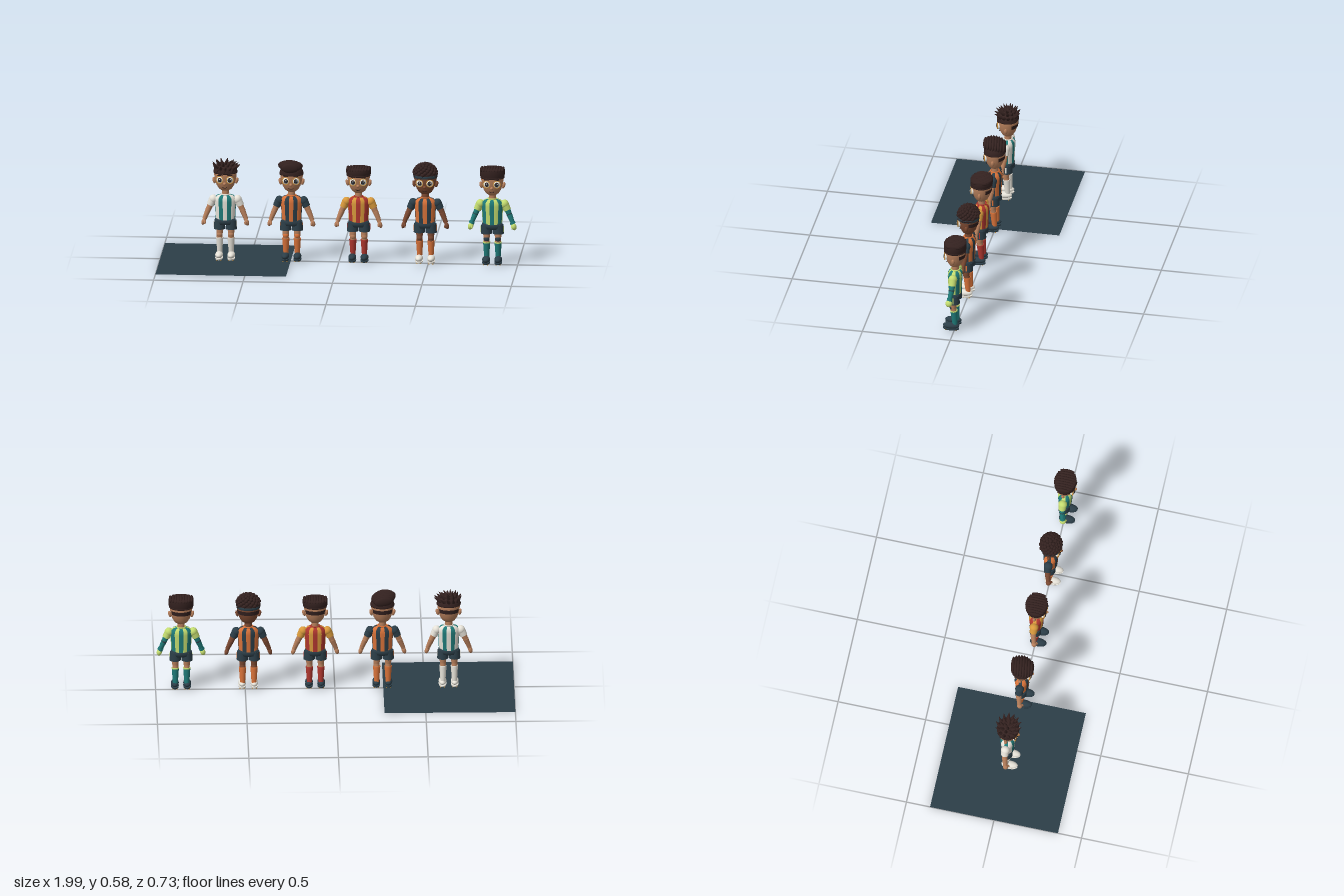
import * as THREE from 'three';

const mat = (name, color) => Object.assign(new THREE.MeshStandardMaterial({ color }), { name });
const M = {
  skin: mat('tan skin', 0xb8805c), brown: mat('brown skin', 0x7d4a32), hair: mat('dark hair', 0x33211f),
  white: mat('white', 0xe8e4da), teal: mat('teal', 0x1f7a78), orange: mat('orange', 0xd9733a),
  navy: mat('navy', 0x2c3e48), red: mat('red', 0xb0372f), amber: mat('amber', 0xd99a3c), lime: mat('lime', 0xc4dc70),
};
M.navy.side = M.hair.side = THREE.DoubleSide;

const V = (x, y, z) => new THREE.Vector3(x, y, z);
const ball = new THREE.SphereGeometry(1, 18, 12);
const dome = new THREE.SphereGeometry(1, 28, 10, 0, Math.PI * 2, 0, Math.PI / 2);

function add(parent, name, geo, material, x = 0, y = 0, z = 0) {
  const m = new THREE.Mesh(geo, material);
  m.name = name;
  m.position.set(x, y, z);
  parent.add(m);
  return m;
}
function blob(parent, name, material, x, y, z, rx, ry = rx, rz = rx) {
  const m = add(parent, name, ball, material, x, y, z);
  m.scale.set(rx, ry, rz);
  return m;
}
// Tapered round limb from a to b
function limb(parent, name, material, a, b, ra, rb, open = false) {
  const d = b.clone().sub(a);
  const m = add(parent, name, new THREE.CylinderGeometry(rb, ra, d.length(), 16, 1, open), material);
  m.position.copy(a).addScaledVector(d, 0.5);
  m.quaternion.setFromUnitVectors(V(0, 1, 0), d.normalize());
  return m;
}
// Turned shape with an oval plan
function lathe(parent, name, material, pts, depth, segs = 32) {
  const m = add(parent, name, new THREE.LatheGeometry(pts.map(p => new THREE.Vector2(...p)), segs), material);
  m.scale.z = depth;
  return m;
}

// Vertical stripes follow the columns of the turned shirt
function shirt(g, p) {
  const pts = [[0.054, 0.232], [0.056, 0.26], [0.058, 0.3], [0.062, 0.34], [0.06, 0.36], [0.045, 0.374], [0.022, 0.381]];
  const segs = 60;
  const m = lathe(g, 'shirt', [p.shirt, p.stripe], pts, 0.66, segs);
  const per = 6 * (pts.length - 1);
  for (let i = 0; i < segs; i++) {
    const s = Math.abs(Math.sin((i + 0.5) / segs * Math.PI * 2));
    m.geometry.addGroup(i * per, per, (s > 0.25 && s < 0.6) || s > 0.95 ? 1 : 0);
  }
  const collar = add(g, 'collar', new THREE.TorusGeometry(0.024, 0.004, 8, 24), p.trim, 0, 0.38, 0);
  collar.rotation.x = Math.PI / 2;
}

function shorts(g, p) {
  lathe(g, 'waistband', M.navy, [[0, 0.205], [0.056, 0.208], [0.06, 0.225], [0.056, 0.242], [0, 0.243]], 0.62);
  for (const s of [-1, 1]) {
    const leg = add(g, 'shortsLeg', new THREE.CylinderGeometry(0.029, 0.032, 0.05, 20), M.navy, s * 0.033, 0.205, 0);
    leg.scale.z = 1.02;
    add(g, 'shortsStripe', new THREE.BoxGeometry(0.003, 0.035, 0.007), p.trim, s * 0.0635, 0.205, 0);
  }
}

function legs(g, p) {
  for (const s of [-1, 1]) {
    const x = s * 0.032;
    limb(g, 'thigh', p.skin, V(x, 0.135, 0.006), V(x, 0.2, 0.002), 0.016, 0.021);
    blob(g, 'kneePad', p.knee, x, 0.15, 0.012, 0.016, 0.017, 0.013);
    limb(g, 'shin', p.skin, V(x, 0.125, 0.002), V(x, 0.15, 0.004), 0.017, 0.016);
    limb(g, 'sock', p.sock, V(x, 0.04, -0.005), V(x, 0.128, 0.001), 0.014, 0.02);
    limb(g, 'sockCuff', p.trim, V(x, 0.126, 0.001), V(x, 0.133, 0.0015), 0.0205, 0.0205);
    // Boot with sole and studs
    blob(g, 'boot', p.boot, s * 0.034, 0.034, 0.017, 0.022, 0.018, 0.047);
    const sole = add(g, 'sole', new THREE.CylinderGeometry(0.022, 0.021, 0.008, 24), p.boot, s * 0.034, 0.016, 0.017);
    sole.scale.z = 2.1;
    for (const dx of [-0.011, 0.011]) for (const z of [-0.013, 0.02, 0.045])
      add(g, 'stud', new THREE.CylinderGeometry(0.004, 0.003, 0.007, 8), M.amber, s * 0.034 + dx, 0.01, z);
  }
}

function arms(g, p) {
  for (const s of [-1, 1]) {
    const at = (x, y, z) => V(s * x, y, z);
    const elbow = at(0.095, 0.291, 0.002), wrist = at(0.115, 0.243, 0.009);
    blob(g, 'shoulder', p.sleeve, s * 0.068, 0.349, 0, 0.024, 0.025, 0.025);
    limb(g, 'sleeve', p.sleeve, at(0.07, 0.347, 0), at(0.084, 0.316, 0), 0.023, 0.021);
    limb(g, 'upperArm', p.arm, at(0.078, 0.33, 0), elbow, 0.018, 0.015);
    blob(g, 'elbow', p.glove ? M.navy : p.arm, elbow.x, elbow.y, elbow.z, 0.016);
    limb(g, 'forearm', p.arm, elbow, wrist, 0.016, 0.012);
    const big = p.glove ? 1.25 : 1, hm = p.glove || p.skin;
    limb(g, 'cuff', p.glove ? M.teal : hm, at(0.112, 0.248, 0.008), at(0.117, 0.237, 0.01), 0.0125 * big, 0.0125 * big);
    const hand = blob(g, 'hand', hm, s * 0.121, 0.222, 0.012, 0.012 * big, 0.02, 0.015 * big);
    hand.rotation.z = s * 0.3;
    const thumb = blob(g, 'thumb', hm, s * 0.113, 0.222, 0.026, 0.006, 0.012, 0.006);
    thumb.rotation.x = -0.4;
  }
}

function head(g, p) {
  limb(g, 'neck', p.skin, V(0, 0.365, 0), V(0, 0.415, 0), 0.02, 0.02);
  lathe(g, 'head', p.skin, [[0, 0.398], [0.02, 0.401], [0.036, 0.412], [0.049, 0.433], [0.058, 0.46],
    [0.063, 0.49], [0.063, 0.51], [0.055, 0.53], [0.03, 0.542], [0, 0.545]], 0.9, 36);
  blob(g, 'nose', p.skin, 0, 0.45, 0.056, 0.009, 0.009, 0.012);
  const mouth = add(g, 'mouth', new THREE.TorusGeometry(0.016, 0.0018, 6, 14, 1.8), M.hair, 0, 0.439, 0.047);
  mouth.rotation.z = -Math.PI / 2 - 0.9;
  for (const s of [-1, 1]) {
    const ear = blob(g, 'ear', p.skin, s * 0.063, 0.457, 0, 0.009, 0.019, 0.01);
    ear.rotation.z = -s * 0.25;
    // Eye with round rim, iris, pupil and brow
    const eye = new THREE.Group();
    eye.name = 'eye';
    eye.position.set(s * 0.027, 0.472, 0.046);
    eye.rotation.y = s * 0.25;
    g.add(eye);
    blob(eye, 'eyeWhite', M.white, 0, 0, 0, 0.02, 0.021, 0.013);
    add(eye, 'eyeRim', new THREE.TorusGeometry(0.02, 0.002, 8, 28), M.amber, 0, 0, 0.009);
    blob(eye, 'iris', M.hair, -s * 0.002, 0, 0.0105, 0.0115, 0.0125, 0.004);
    blob(eye, 'pupil', M.navy, -s * 0.002, 0, 0.0128, 0.007, 0.008, 0.003);
    blob(eye, 'glint', M.white, 0.003, 0.004, 0.0152, 0.003, 0.003, 0.0015);
    const brow = blob(g, 'brow', M.hair, s * 0.028, 0.4985, 0.052, 0.017, 0.0038, 0.005);
    brow.rotation.set(0, s * 0.4, -s * 0.15);
  }
  // Shaved hair band round the back
  const wide = p.style === 'curls' ? 1.35 : 1.0;
  const band = add(g, 'hairBand', new THREE.CylinderGeometry(0.065, 0.061, 0.024, 24, 1, true, Math.PI - wide, wide * 2), M.hair, 0, 0.476, 0);
  band.scale.z = 0.92;
}

function cap(g, h, y = 0.504, rx = 0.067, rz = 0.061) {
  add(g, 'hairCap', dome, M.hair, 0, y, 0).scale.set(rx, h, rz);
  lathe(g, 'hairEdge', M.hair, [[0.06, y - 0.006], [rx, y - 0.004], [rx + 0.001, y + 0.004], [0.06, y + 0.01]], rz / rx);
}

const hairstyles = {
  // Pointed locks leaning outward, with a fringe
  spikes(g) {
    cap(g, 0.047, 0.508);
    for (const [n, r, len] of [[14, 0.052, 0.038], [9, 0.032, 0.042], [4, 0.012, 0.036]])
      for (let i = 0; i < n; i++) {
        const a = (i + (n % 2) / 2) / n * Math.PI * 2, y = 0.508 + 0.047 * Math.sqrt(1 - (r / 0.067) ** 2) - 0.008;
        const base = V(Math.sin(a) * r, y, Math.cos(a) * r * 0.9);
        const tip = base.clone().add(V(Math.sin(a) * 0.5 + 0.2, 0.85 - r * 8, Math.cos(a) * 0.5 + 0.1).setLength(len));
        limb(g, 'hairSpike', M.hair, base, tip, 0.012, 0.0005);
      }
    for (let i = -2; i <= 2; i++)
      limb(g, 'fringe', M.hair, V(i * 0.02, 0.527, 0.048 - Math.abs(i) * 0.005), V(i * 0.022 - 0.01, 0.502, 0.065 - Math.abs(i) * 0.006), 0.012, 0.0005);
  },
  // Side-swept strands
  swept(g) {
    cap(g, 0.055);
    for (let i = 0; i < 8; i++) {
      const z = -0.05 + i * 0.015, k = Math.sqrt(1 - (z / 0.075) ** 2);
      const m = blob(g, 'sweptStrand', M.hair, -0.006, 0.52 + 0.026 * k + i * 0.001, z, 0.07 * k, 0.027, 0.013);
      m.rotation.z = -0.1;
      m.rotation.y = 0.15;
    }
  },
  // Flat top combed front to back
  flat(g, top) {
    cap(g, top - 0.512);
    lathe(g, 'flatTop', M.hair, [[0.062, 0.503], [0.069, 0.51], [0.07, top - 0.016], [0.063, top - 0.007], [0, top - 0.004]], 0.89);
    for (let i = -4; i <= 4; i++) {
      const k = Math.sqrt(1 - (i / 5.2) ** 2);
      blob(g, 'combedStrand', M.hair, i * 0.0148, top - 0.014, 0, 0.0095, 0.014, 0.064 * k);
    }
  },
  // Tight curls spread over a dome
  curls(g) {
    cap(g, 0.064);
    const n = 70;
    for (let i = 0; i < n; i++) {
      const y = 1 - i / n * 0.92, r = Math.sqrt(1 - y * y), a = i * 2.39996;
      blob(g, 'curl', M.hair, Math.sin(a) * r * 0.064, 0.512 + y * 0.06, Math.cos(a) * r * 0.058, 0.0105);
    }
    lathe(g, 'headband', M.navy, [[0.062, 0.495], [0.0665, 0.496], [0.068, 0.511], [0.062, 0.513]], 0.92);
  },
};

function player(p) {
  const g = new THREE.Group();
  g.name = p.name;
  g.position.x = p.x;
  for (const build of [shirt, shorts, legs, arms, head]) build(g, p);
  hairstyles[p.style](g, p.top);
  return g;
}

export function createModel() {
  const root = new THREE.Group();
  root.name = 'footballTeam';
  const { skin, brown, white, teal, orange, navy, red, amber, lime } = M;
  const floor = add(root, 'floor', new THREE.PlaneGeometry(0.73, 0.73), navy, -0.635, 0, 0);
  floor.rotation.x = -Math.PI / 2;
  const team = [
    { name: 'whitePlayer', x: -0.635, skin, arm: skin, shirt: white, stripe: teal, sleeve: white, trim: white, knee: skin, sock: white, boot: white, style: 'spikes' },
    { name: 'orangePlayer', x: -0.265, skin, arm: skin, shirt: orange, stripe: navy, sleeve: navy, trim: orange, knee: orange, sock: orange, boot: navy, style: 'swept' },
    { name: 'redPlayer', x: 0.11, skin, arm: skin, shirt: red, stripe: amber, sleeve: amber, trim: red, knee: skin, sock: red, boot: navy, style: 'flat', top: 0.552 },
    { name: 'curlyPlayer', x: 0.483, skin: brown, arm: brown, shirt: orange, stripe: navy, sleeve: navy, trim: orange, knee: brown, sock: orange, boot: white, style: 'curls' },
    { name: 'keeper', x: 0.858, skin, arm: teal, shirt: teal, stripe: lime, sleeve: lime, trim: lime, knee: navy, sock: teal, boot: navy, glove: lime, style: 'flat', top: 0.562 },
  ];
  for (const p of team) root.add(player(p));
  return root;
}
